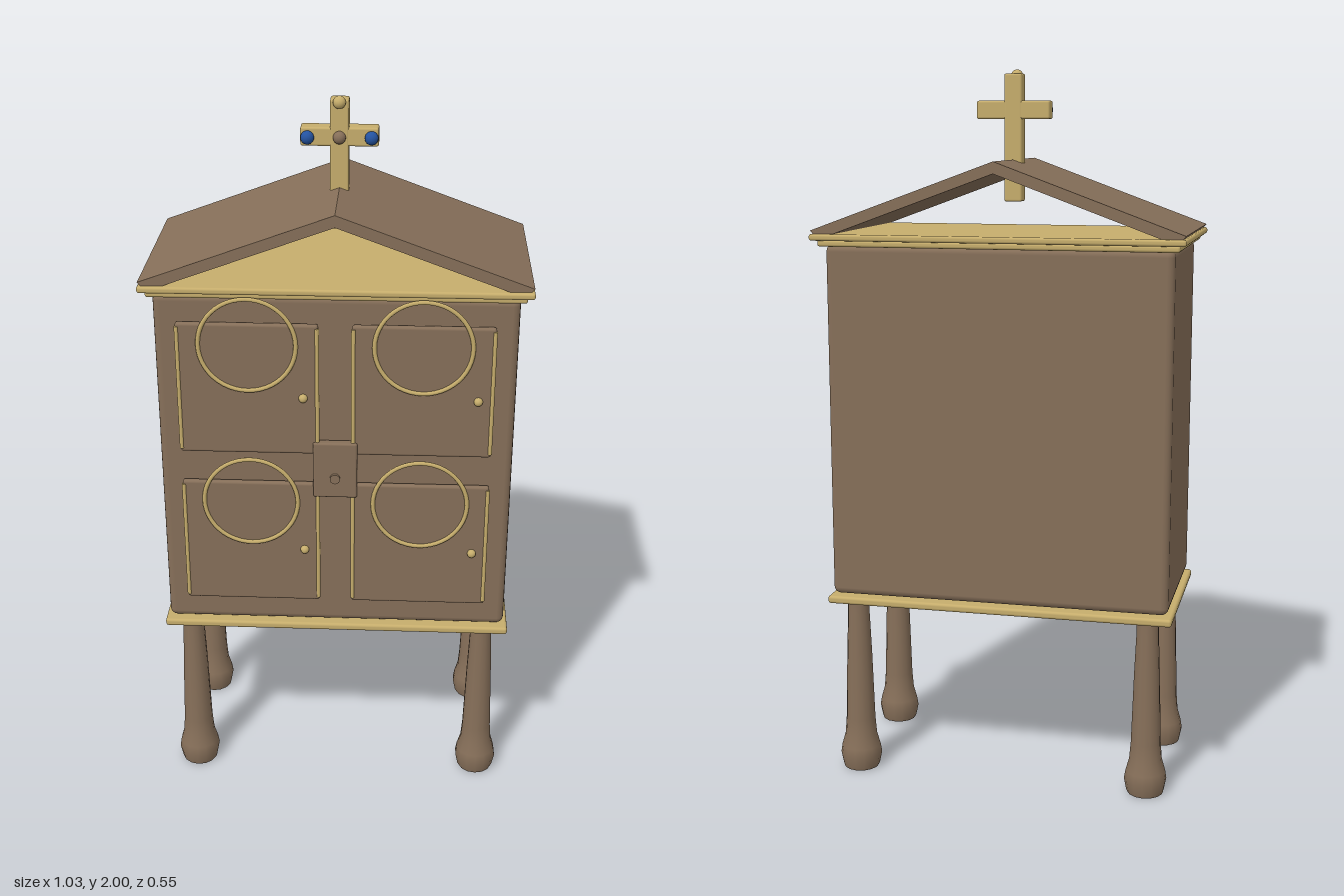
import * as THREE from 'three';
import { RoundedBoxGeometry } from 'three/addons/geometries/RoundedBoxGeometry.js';

const material = (name, color) => {
  const m = new THREE.MeshStandardMaterial({ color });
  m.name = name;
  return m;
};

export function createModel() {
  const wood = material('brown wood', 0x866f59);
  const gold = material('pale gold', 0xc6ad6c);
  const blue = material('blue gem', 0x2453a0);
  const model = new THREE.Group();
  model.name = 'cabinetShrine';

  const add = (name, geometry, mat, x = 0, y = 0, z = 0, parent = model) => {
    const mesh = new THREE.Mesh(geometry, mat);
    mesh.name = name;
    mesh.position.set(x, y, z);
    parent.add(mesh);
    return mesh;
  };
  const box = (w, h, d, r) => new RoundedBoxGeometry(w, h, d, 2, r);
  const ball = (r) => new THREE.SphereGeometry(r, 16, 12);

  // Cabinet body with its gold base plate and two-step cornice
  add('body', box(0.96, 0.995, 0.476, 0.02), wood, 0, 1.032, -0.002);
  add('basePlate', box(0.984, 0.022, 0.5, 0.008), gold, 0, 0.519, -0.001);
  add('lowerCornice', box(0.99, 0.018, 0.51, 0.007), gold, 0, 1.533, -0.003);
  add('upperCornice', box(1.026, 0.018, 0.545, 0.007), gold, 0, 1.55, -0.003);

  // Turned legs with bulbous feet
  const legProfile = [
    [0, 0], [0.05, 0], [0.053, 0.006], [0.06, 0.04], [0.056, 0.065], [0.046, 0.1],
    [0.042, 0.15], [0.036, 0.35], [0.031, 0.47], [0.031, 0.51],
  ].map(([r, y]) => new THREE.Vector2(r, y));
  // Doubled points keep the foot's flat underside sharp
  legProfile.splice(1, 0, new THREE.Vector2(0.0499, 0));
  const legGeometry = new THREE.LatheGeometry(legProfile, 14);
  for (const x of [-0.42, 0.42]) {
    for (const z of [-0.19, 0.187]) add('leg', legGeometry, wood, x, 0, z);
  }

  // Open gabled roof: two sloping slabs meeting at the ridge
  for (const s of [-1, 1]) {
    const slope = new THREE.Shape();
    slope.moveTo(0, 1.755);
    slope.lineTo(s * 0.511, 1.568);
    slope.lineTo(s * 0.497, 1.552);
    slope.lineTo(s * 0.455, 1.556);
    slope.lineTo(0, 1.723);
    slope.closePath();
    const geometry = new THREE.ExtrudeGeometry(slope, { depth: 0.522, bevelEnabled: false });
    add(s < 0 ? 'rightRoofSlab' : 'leftRoofSlab', geometry, wood, 0, 0, -0.264);
  }

  // Four doors, each with gold side strips, a ring and a knob
  const doorGeometry = box(0.376, 0.376, 0.018, 0.008);
  const stripGeometry = new THREE.CylinderGeometry(0.006, 0.006, 0.355, 10);
  const ringGeometry = new THREE.TorusGeometry(0.129, 0.006, 8, 48);
  for (const x of [-0.232, 0.232]) {
    for (const y of [0.805, 1.27]) {
      const door = new THREE.Group();
      door.name = 'door';
      door.position.set(x, y, 0);
      model.add(door);
      add('doorPanel', doorGeometry, wood, 0, 0, 0.25, door);
      for (const s of [-1, 1]) add('edgeStrip', stripGeometry, gold, s * 0.184, 0, 0.256, door);
      add('doorRing', ringGeometry, gold, 0, 0.128, 0.259, door);
      add('doorKnob', ball(0.012), gold, 0.147, -0.02, 0.262, door);
    }
  }

  // Central lock plate and its stud
  add('lockPlate', box(0.12, 0.165, 0.026, 0.006), wood, 0, 1.037, 0.254);
  const stud = add('lockStud', new THREE.CylinderGeometry(0.014, 0.014, 0.012, 14), wood, 0, 1.015, 0.27);
  stud.rotation.x = Math.PI / 2;

  // Ridge cross with jewels
  const cross = new THREE.Group();
  cross.name = 'cross';
  cross.position.z = -0.004;
  model.add(cross);
  add('crossPost', box(0.05, 0.348, 0.05, 0.006), gold, 0, 1.814, 0, cross);
  add('crossArm', box(0.206, 0.05, 0.048, 0.006), gold, 0, 1.89, 0, cross);
  for (const x of [-0.084, 0.084]) add('blueGem', ball(0.018), blue, x, 1.89, 0.031, cross);
  add('centreStud', ball(0.017), wood, 0, 1.89, 0.029, cross);
  add('topStud', ball(0.017), gold, 0, 1.983, 0.031, cross);

  return model;
}
